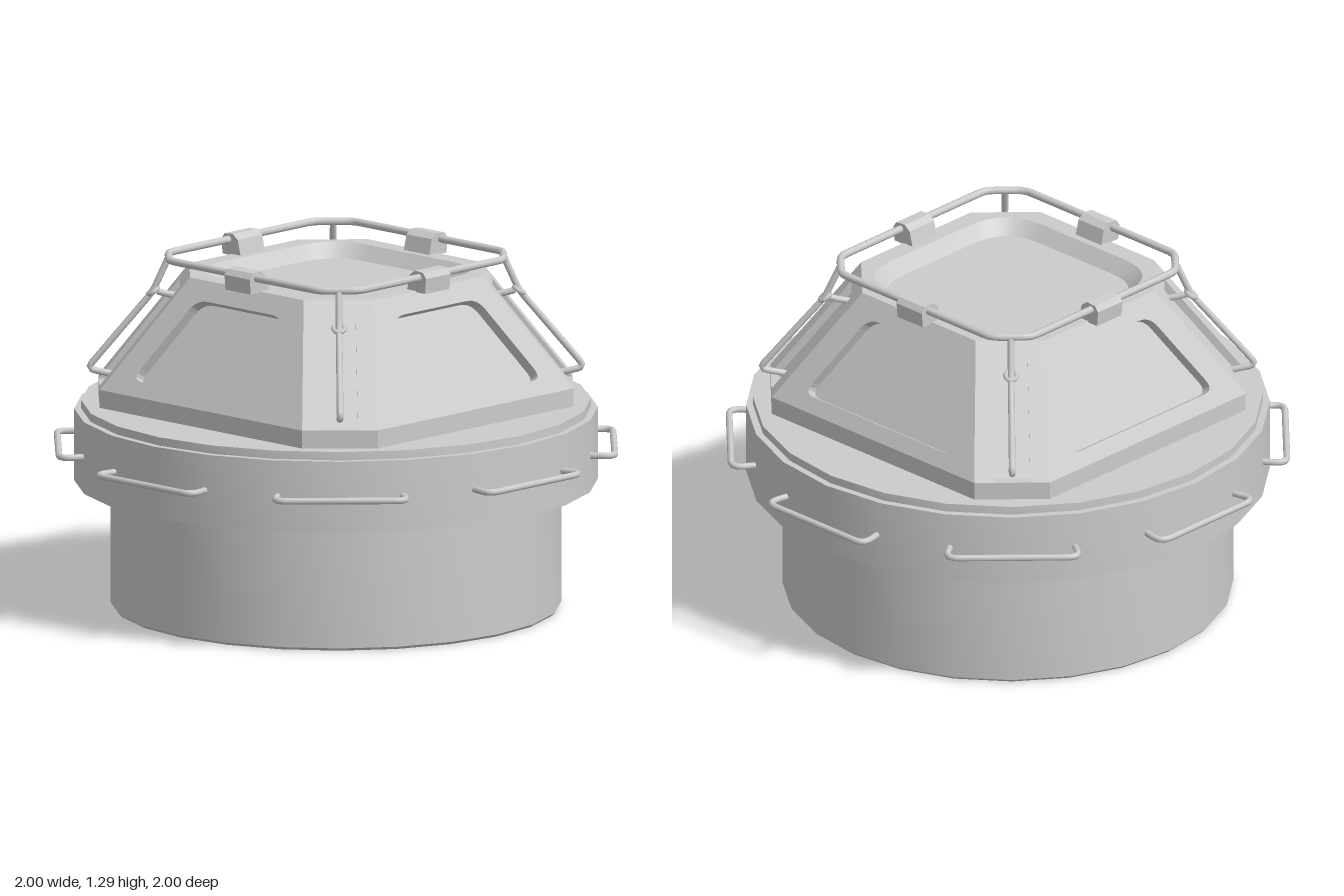
import * as THREE from 'three';
import { toCreasedNormals } from 'three/addons/utils/BufferGeometryUtils.js';

const grey = new THREE.MeshStandardMaterial({ color: 0xcccccc });
const V = (x, y, z) => new THREE.Vector3(x, y, z);
const P = (x, y) => new THREE.Vector2(x, y);

function add(parent, name, geometry) {
  const mesh = new THREE.Mesh(geometry, grey);
  mesh.name = name;
  parent.add(mesh);
  return mesh;
}

function turned(profile) {
  const g = new THREE.LatheGeometry(profile.map(([r, y]) => P(r, y)), 24);
  return toCreasedNormals(g, 0.45);
}

// Skin over rings of points that run counter-clockwise seen from above
function loft(rings) {
  const pos = [];
  const n = rings[0].length;
  for (let i = 0; i + 1 < rings.length; i++) {
    for (let j = 0; j < n; j++) {
      const k = (j + 1) % n;
      const [a, b, c, d] = [rings[i][j], rings[i][k], rings[i + 1][k], rings[i + 1][j]];
      for (const p of [a, b, c, a, c, d]) pos.push(p.x, p.y, p.z);
    }
  }
  const g = new THREE.BufferGeometry();
  g.setAttribute('position', new THREE.Float32BufferAttribute(pos, 3));
  g.computeVertexNormals();
  return g;
}

// Bent rod through points, with rounded corners
function rod(pts, radius, bend, closed = false, segments = 48) {
  const path = new THREE.CurvePath();
  const n = pts.length;
  const toward = (a, b) => a.clone().add(b.clone().sub(a).setLength(bend));
  let last = closed ? null : pts[0];
  let first = null;
  for (let i = closed ? 0 : 1; i < (closed ? n : n - 1); i++) {
    const p = pts[i];
    const start = toward(p, pts[(i + n - 1) % n]);
    const end = toward(p, pts[(i + 1) % n]);
    if (last) path.add(new THREE.LineCurve3(last, start));
    else first = start;
    path.add(new THREE.QuadraticBezierCurve3(start, p, end));
    last = end;
  }
  path.add(new THREE.LineCurve3(last, closed ? first : pts[n - 1]));
  return new THREE.TubeGeometry(path, segments, radius, 8, closed);
}

// Square with cut corners: h half size, s half length of the straight sides
const octagon = (h, s) => [P(s, -h), P(h, -s), P(h, s), P(s, h), P(-s, h), P(-h, s), P(-h, -s), P(-s, -h)];

// Outline of a polygon with rounded corners
function rounded(pts, r) {
  const shape = new THREE.Shape();
  const n = pts.length;
  pts.forEach((p, i) => {
    const a = p.clone().add(pts[(i + n - 1) % n].clone().sub(p).setLength(r));
    const b = p.clone().add(pts[(i + 1) % n].clone().sub(p).setLength(r));
    if (i) shape.lineTo(a.x, a.y); else shape.moveTo(a.x, a.y);
    shape.quadraticCurveTo(p.x, p.y, b.x, b.y);
  });
  shape.closePath();
  return shape;
}

// Main dimensions of the faceted dome
const Y0 = 0.81, Y1 = 1.215, H0 = 0.69, H1 = 0.455, S0 = 0.5, S1 = 0.28;

// Dome section; notch sinks the four sides, groove sinks the corner channel
function domeRing(y, notch, groove) {
  const t = Math.max(0, (y - Y0) / (Y1 - Y0));
  const h = H0 + (H1 - H0) * t;
  const s = S0 + (S1 - S0) * t;
  const g = groove * Math.SQRT1_2;
  const on = (f, d) => [s + (h - s) * f - d, h - (h - s) * f - d];
  let corner = [[s, h - notch], [s, h], on(0.26, 0), on(0.26, g), on(0.74, g), on(0.74, 0), [h, s], [h - notch, s]];
  const ring = [];
  for (let q = 0; q < 4; q++) {
    corner.forEach(([x, z]) => ring.push(V(x, y, z)));
    corner = corner.map(([x, z]) => [z, -x]);
  }
  return ring;
}

export function createModel() {
  const model = new THREE.Group();
  model.name = 'cupola';

  // Round body with a recessed underside, and the wider collar
  add(model, 'lowerBody', turned([[0, 0.06], [0.61, 0.06], [0.61, 0.02], [0.63, 0.02], [0.63, 0],
    [0.79, 0], [0.8, 0.01], [0.8, 0.45]]));
  add(model, 'collar', turned([[0.78, 0.435], [0.93, 0.455], [0.93, 0.715], [0.905, 0.715], [0.905, 0.745], [0, 0.745]]));

  // Underside hatch
  const frame = new THREE.Shape(octagon(0.32, 0.2));
  frame.holes.push(new THREE.Path(octagon(0.275, 0.18)));
  const hatch = add(model, 'hatchFrame', new THREE.ExtrudeGeometry(frame, { depth: 0.045, bevelEnabled: false }));
  hatch.rotation.x = Math.PI / 2;
  hatch.position.y = 0.065;
  const port = add(model, 'hatchPort', new THREE.TorusGeometry(0.07, 0.012, 6, 24));
  port.rotation.x = Math.PI / 2;
  port.position.y = 0.058;
  for (let i = 0; i < 12; i++) {
    const a = (i + 0.5) * Math.PI / 6;
    const clip = add(model, 'rimClip', new THREE.BoxGeometry(0.015, 0.04, 0.03));
    clip.position.set(Math.sin(a) * 0.6, 0.04, Math.cos(a) * 0.6);
    clip.rotation.y = a;
  }

  // Faceted dome core
  const N = 0.046, G = 0.035;
  add(model, 'domeCore', loft([[0.745, 0, 0], [Y0, 0, 0], [Y0, N, G], [1.17, N, G], [1.17, N, 0],
    [1.19, N, 0], [1.19, 0, 0], [Y1, 0, 0]].map(r => domeRing(...r))));

  // Top rim around a sunken window with a sloping wall
  const square = (h, r) => rounded([P(-h, -h), P(h, -h), P(h, h), P(-h, h)], r);
  const outer = square(0.385, 0.19), inner = square(0.345, 0.17);
  const rim = new THREE.Shape(octagon(H1, S1));
  rim.holes.push(outer);
  const flat = (name, shape, y) => {
    const m = add(model, name, new THREE.ShapeGeometry(shape, 8));
    m.rotation.x = -Math.PI / 2;
    m.position.y = y;
  };
  flat('topRim', rim, Y1);
  flat('topWindow', inner, 1.165);
  const outline = (shape, y) => shape.getPoints(8).slice(0, -1).map(p => V(p.x, y, -p.y));
  add(model, 'topWindowWall', toCreasedNormals(loft([outline(outer, Y1), outline(inner, 1.165)]), 0.5));

  // Side panels with trapezoid windows, and rail brackets
  const slope = Math.hypot(Y1 - Y0, H0 - H1);
  const f = (1.19 - Y0) / (Y1 - Y0);
  const top = S0 + (S1 - S0) * f;
  const panel = new THREE.Shape([P(-S0, 0), P(S0, 0), P(top, slope * f), P(-top, slope * f)]);
  panel.holes.push(rounded([P(-0.37, 0.058), P(0.37, 0.058), P(0.21, 0.393), P(-0.21, 0.393)], 0.05));
  const panelGeo = new THREE.ExtrudeGeometry(panel, { depth: 0.04, bevelEnabled: false, curveSegments: 5 });
  panelGeo.translate(0, 0, -0.04);
  const hood = new THREE.Shape([P(0.41, 1.21), P(0.5, 1.21), P(0.505, 1.265), P(0.49, 1.285), P(0.45, 1.288), P(0.425, 1.27)]);
  const hoodGeo = new THREE.ExtrudeGeometry(hood, { depth: 0.125, bevelEnabled: false });
  hoodGeo.translate(0, 0, -0.0625).rotateY(-Math.PI / 2);
  for (let i = 0; i < 4; i++) {
    const side = new THREE.Group();
    side.name = 'domeSide';
    side.rotation.y = i * Math.PI / 2;
    const plate = add(side, 'sidePanel', panelGeo);
    plate.position.set(0, Y0, H0);
    plate.rotation.x = -Math.atan2(H0 - H1, Y1 - Y0);
    add(side, 'railBracket', hoodGeo);
    model.add(side);
  }

  // Top rail
  add(model, 'topRail', rod(octagon(0.47, 0.37).map(p => V(p.x, 1.265, p.y)), 0.014, 0.03, true, 160));

  // Corner rods standing off the corner channels
  const rodGeo = rod([V(0, 1.265, 0.594), V(0, 1.14, 0.65), V(0, 0.86, 0.885), V(0, 0.835, 0.77)], 0.012, 0.03);
  for (let i = 0; i < 4; i++) {
    const corner = new THREE.Group();
    corner.name = 'cornerRod';
    corner.rotation.y = (i + 0.5) * Math.PI / 2;
    add(corner, 'rod', rodGeo);
    const clamp = add(corner, 'clampRing', new THREE.TorusGeometry(0.02, 0.009, 6, 12));
    clamp.position.set(0, 1.14, 0.65);
    clamp.rotation.x = Math.PI / 2 + 0.6;
    add(corner, 'clampArm', rod([V(0, 1.14, 0.635), V(0, 1.13, 0.6), V(0, 1.12, 0.54)], 0.012, 0.02, false, 8));
    model.add(corner);
  }

  // Grab handles around the collar
  const handleGeo = rod([V(-0.215, 0.585, 0.86), V(-0.24, 0.585, 0.987), V(0.24, 0.585, 0.987), V(0.215, 0.585, 0.86)], 0.012, 0.05);
  for (let i = 0; i < 8; i++) add(model, 'grabHandle', handleGeo).rotation.y = i * Math.PI / 4;

  return model;
}
